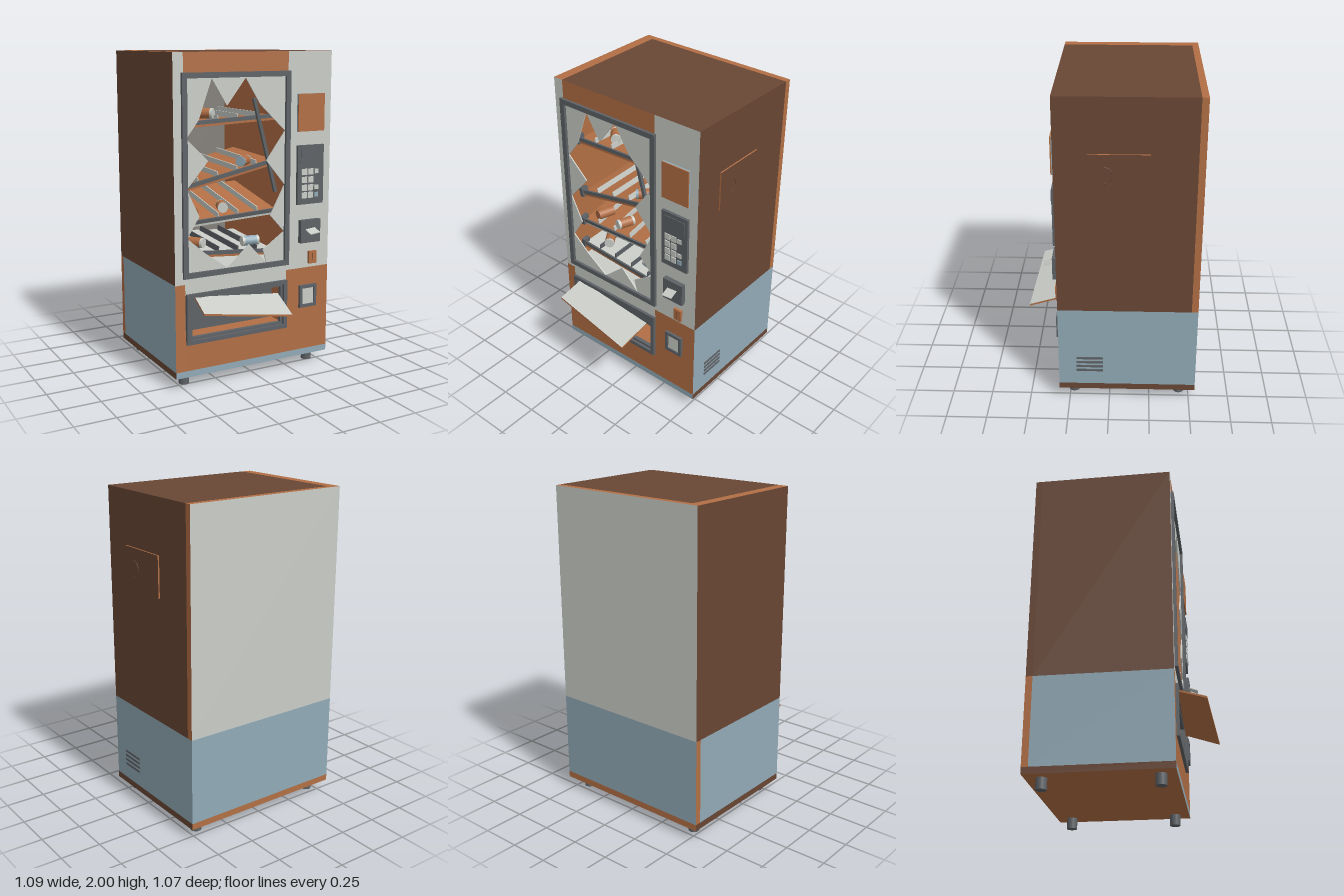
import * as THREE from 'three';

const mat = (name, color) => new THREE.MeshStandardMaterial({ name, color });

export function createModel() {
  const grey = mat('lightGrey', 0xcacdc7), orange = mat('rustOrange', 0xb26f45);
  const brown = mat('darkBrown', 0x694634), blue = mat('dustyBlue', 0x91aab6);
  const dark = mat('charcoal', 0x5e6266), taupe = mat('taupe', 0x84817a);

  const root = new THREE.Group();
  root.name = 'vendingMachine';

  const mesh = (name, geo, material, parent = root) => {
    const m = new THREE.Mesh(geo, material);
    m.name = name;
    parent.add(m);
    return m;
  };
  // Box from limits; several materials follow the order +x -x +y -y +z -z
  const box = (name, [x0, x1], [y0, y1], [z0, z1], material, parent = root) => {
    const m = mesh(name, new THREE.BoxGeometry(x1 - x0, y1 - y0, z1 - z0), material, parent);
    m.position.set((x0 + x1) / 2, (y0 + y1) / 2, (z0 + z1) / 2);
    return m;
  };
  const outline = (x0, x1, y0, y1) =>
    [[x0, y0], [x1, y0], [x1, y1], [x0, y1]].map(p => new THREE.Vector2(...p));
  // Flat plate with a hole, extruded forward from z
  const plate = (name, outer, hole, z, depth, material) => {
    const shape = new THREE.Shape(outer);
    shape.holes.push(new THREE.Path(hole));
    const geo = new THREE.ExtrudeGeometry(shape, { depth, bevelEnabled: false });
    mesh(name, geo, material).position.z = z;
  };
  const frame = (name, x0, x1, y0, y1, w, z, depth, material) =>
    plate(name, outline(x0, x1, y0, y1), outline(x0 + w, x1 - w, y0 + w, y1 - w), z, depth, material);

  // Cabinet: limits shared by the shell blocks
  const L = [-0.547, -0.482], M = [-0.482, 0.22], R = [0.22, 0.532], W = [-0.547, 0.532];
  const D = [-0.497, 0.315], B = [-0.537, -0.497], UP = [0.648, 2], LOW = [0.108, 0.648];
  box('leftColumn', L, UP, D, [orange, brown, orange, grey, grey, grey]);
  box('rightColumn', R, UP, D, [brown, orange, brown, grey, grey, grey]);
  box('header', M, [1.88, 2], D, [orange, orange, brown, grey, orange, grey]);
  box('backPanel', W, UP, B, [orange, brown, orange, grey, taupe, grey]);
  box('lowerLeft', L, LOW, D, [orange, blue, orange, orange, orange, blue]);
  box('lowerRight', R, LOW, D, [blue, orange, orange, orange, orange, blue]);
  box('lowerBack', W, LOW, B, [blue, orange, blue, blue, blue, blue]);
  box('windowSill', M, [0.58, 0.7], D, [grey, grey, grey, dark, grey, grey]);
  box('binBase', M, [0.108, 0.295], D, orange);
  box('binBack', M, [0.295, 0.58], [0.12, 0.14], dark);
  box('base', W, [0.068, 0.108], [-0.537, 0.315], [brown, brown, brown, orange, blue, orange]);

  // Feet
  for (const x of [-0.455, 0.439]) for (const z of [0.225, -0.44])
    mesh('foot', new THREE.CylinderGeometry(0.033, 0.033, 0.08, 16), dark).position.set(x, 0.04, z);

  // Display window frame and broken pane
  frame('windowFrame', -0.497, 0.23, 0.685, 1.885, 0.032, 0.31, 0.023, dark);
  const crack = [
    [-0.3, 1.85], [-0.2, 1.69], [-0.075, 1.85], [0.025, 1.69], [0.2, 1.525], [0.07, 1.35],
    [0.2, 1.195], [0.1, 1.01], [0.2, 0.9], [0.05, 0.8], [0.075, 0.715], [-0.05, 0.845],
    [-0.195, 0.715], [-0.35, 0.825], [-0.465, 0.925], [-0.385, 1.05], [-0.465, 1.215],
    [-0.325, 1.375], [-0.465, 1.51], [-0.385, 1.615],
  ].map(p => new THREE.Vector2(...p));
  plate('brokenPane', outline(-0.48, 0.215, 0.705, 1.865), crack, 0.308, 0.008, grey);

  // Collapsed shelves: [height, roll, forward tilt, tray, lip and divider colours]
  const shelves = [
    [1.595, 0.04, 0, orange, orange, grey], [1.27, 0.2, 0.04, orange, orange, grey],
    [1.005, 0.05, 0.2, orange, grey, grey], [0.785, -0.08, 0.06, grey, orange, dark],
  ];
  for (const [y, roll, tilt, tray, lip, divider] of shelves) {
    const shelf = new THREE.Group();
    shelf.name = 'shelf';
    shelf.position.set(-0.13, y, 0.22);
    shelf.rotation.set(tilt, 0, roll);
    root.add(shelf);
    box('shelfTray', [-0.33, 0.33], [-0.015, 0], [-0.55, 0], tray, shelf);
    box('shelfRail', [-0.33, 0.33], [-0.008, 0.016], [0, 0.012], dark, shelf);
    box('shelfLip', [-0.33, 0.33], [-0.022, -0.008], [0, 0.01], lip, shelf);
    for (const x of [-0.21, -0.075, 0.06, 0.195])
      box('shelfDivider', [x - 0.003, x + 0.003], [0, 0.035], [-0.53, -0.01], divider, shelf);
    box('shelfBracket', [-0.347, -0.32], [-0.03, 0.03], [-0.03, 0.02], dark, shelf);
  }

  // Fallen support rail behind the pane
  const rail = box('fallenRail', [-0.01, 0.01], [-0.3, 0.3], [-0.01, 0.01], dark);
  rail.position.set(0.09, 1.434, 0.26);
  rail.rotation.z = 0.26;

  // Cans: [x, y, z, turn about y, body colour, end colour]
  const cans = [
    [-0.25, 1.635, 0.12, 0.75, orange, grey], [0.005, 1.335, 0.15, -0.9, orange, blue],
    [-0.155, 1.065, 0.16, -0.35, orange, grey], [-0.345, 1.05, 0.14, -0.3, orange, orange],
    [0.05, 0.825, 0.15, 1.45, blue, grey], [-0.32, 0.85, 0.13, 0.6, orange, grey],
  ];
  for (const [x, y, z, turn, body, lid] of cans) {
    const can = new THREE.Group();
    can.name = 'can';
    can.position.set(x, y, z);
    can.rotation.y = turn;
    root.add(can);
    mesh('canBody', new THREE.CylinderGeometry(0.032, 0.032, 0.08, 16), body, can).rotation.x = Math.PI / 2;
    for (const s of [-1, 1]) {
      const end = mesh('canEnd', new THREE.CylinderGeometry(0.031, 0.031, 0.016, 16), lid, can);
      end.rotation.x = Math.PI / 2;
      end.position.z = s * 0.048;
    }
  }

  // Delivery bin frames and the bent flap
  frame('binFrame', -0.478, 0.22, 0.275, 0.588, 0.025, 0.31, 0.023, dark);
  frame('binInnerFrame', -0.454, 0.196, 0.299, 0.564, 0.016, 0.29, 0.025, dark);
  const flapGeo = new THREE.BoxGeometry(1, 1, 1);
  const p = flapGeo.attributes.position;
  const flapCorners = { '-1-1': [-0.425, 0.57, 0.325], '1-1': [0.155, 0.51, 0.325], 11: [0.13, 0.432, 0.535], '-11': [-0.445, 0.513, 0.49] };
  for (let i = 0; i < p.count; i++) {
    const [x, y, z] = flapCorners[`${Math.sign(p.getX(i))}${Math.sign(p.getZ(i))}`];
    p.setXYZ(i, x, y - (p.getY(i) < 0 ? 0.012 : 0), z);
  }
  flapGeo.computeVertexNormals();
  mesh('binFlap', flapGeo, [orange, orange, grey, orange, orange, orange]);

  // Control column: notice panel, keypad, bill slot, coin slot, coin return
  box('noticeBacking', [0.285, 0.475], [1.515, 1.745], [0.31, 0.326], blue);
  box('noticePanel', [0.285, 0.475], [1.515, 1.745], [0.326, 0.333], orange);
  box('keypadPanel', [0.285, 0.475], [1.06, 1.43], [0.31, 0.333], dark);
  box('keypadScreen', [0.305, 0.455], [1.32, 1.405], [0.33, 0.338], dark);
  [1.265, 1.215, 1.165, 1.118].forEach((y, row) => [0.332, 0.378, 0.421].forEach((x, col) => {
    if (col === 2 && row === 1) return;
    const h = col === 2 ? 0.014 : 0.019;
    box('key', [x - h, x + h], [y - h, y + h], [0.33, 0.339], col === 2 && row === 3 ? blue : grey);
  }));
  box('billSlot', [0.307, 0.452], [0.815, 0.96], [0.31, 0.345], dark);
  const bill = box('bill', [0.342, 0.412], [0.892, 0.898], [0.33, 0.402], grey);
  bill.rotation.set(0.35, 0.05, 0.1);
  box('coinSlot', [0.38, 0.435], [0.673, 0.753], [0.31, 0.333], orange);
  box('coinSlit', [0.406, 0.409], [0.69, 0.74], [0.33, 0.335], brown);
  frame('coinReturnFrame', 0.315, 0.44, 0.39, 0.535, 0.02, 0.31, 0.023, dark);
  box('coinReturnDoor', [0.33, 0.425], [0.405, 0.52], [0.31, 0.325], grey);

  // Side hatch with handle, and vent slots
  box('sideHatch', [0.52, 0.541], [1.42, 1.67], [-0.23, 0.12], [brown, brown, orange, orange, orange, orange]);
  const handle = mesh('hatchHandle', new THREE.TorusGeometry(0.05, 0.0025, 6, 16, Math.PI), brown);
  handle.position.set(0.542, 1.545, 0.03);
  handle.rotation.set(0, Math.PI / 2, -Math.PI / 2, 'YXZ');
  for (let i = 0; i < 4; i++)
    box('ventSlot', [0.525, 0.537], [0.204 + i * 0.03, 0.218 + i * 0.03], [0.04, 0.205], dark);

  return root;
}
